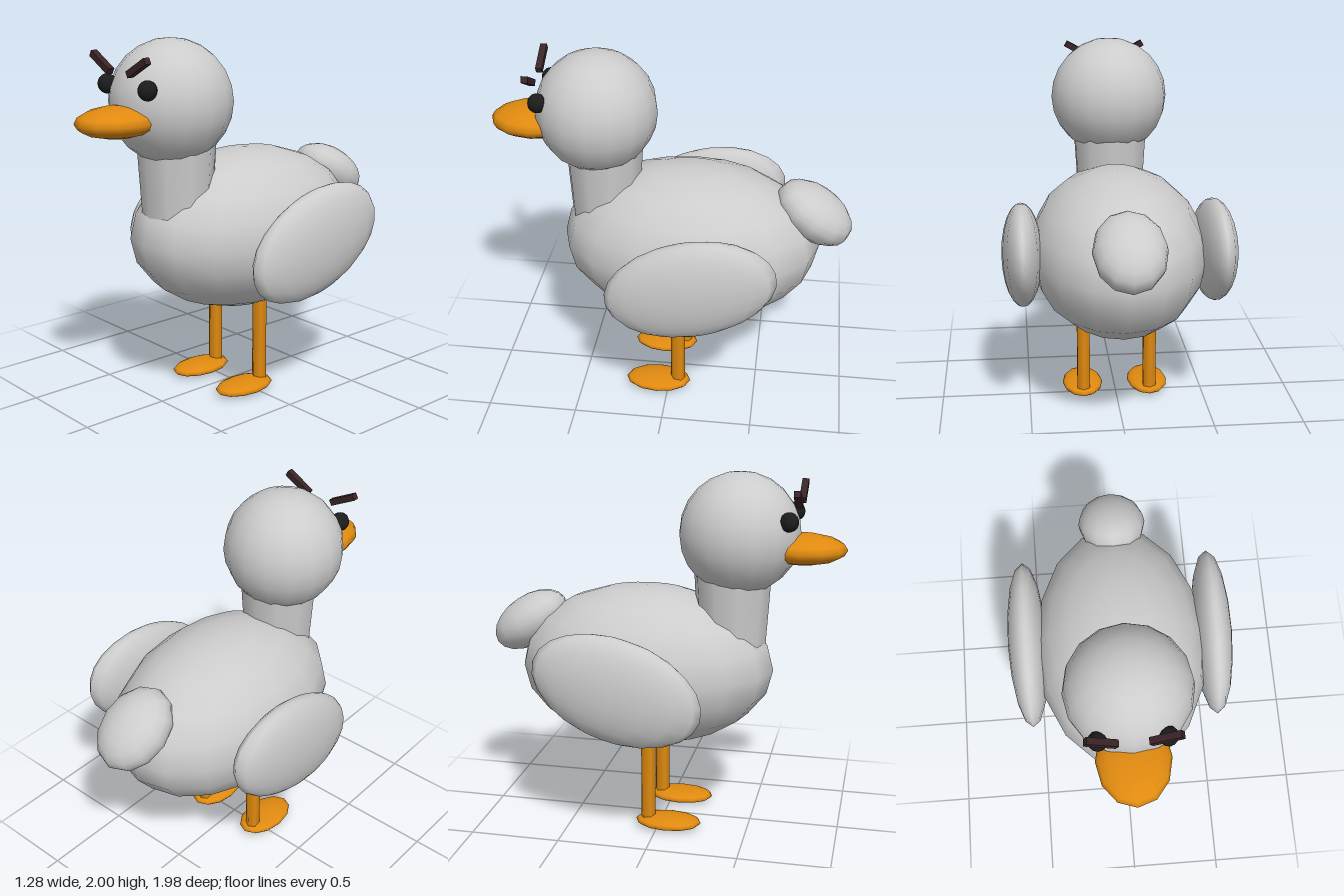
import * as THREE from 'three';

const material = (name, color) => {
  const m = new THREE.MeshStandardMaterial({ color });
  m.name = name;
  return m;
};

export function createModel() {
  const feather = material('pale grey feather', 0xcccccc);
  const orange = material('orange', 0xe08a10);
  const black = material('eye black', 0x1c1c1c);
  const brown = material('brow brown', 0x3a2426);

  const duck = new THREE.Group();
  duck.name = 'duck';

  const add = (name, geometry, mat, position, tiltX = 0, tiltZ = 0) => {
    const mesh = new THREE.Mesh(geometry, mat);
    mesh.name = name;
    mesh.position.set(...position);
    mesh.rotation.set(tiltX, 0, tiltZ);
    duck.add(mesh);
    return mesh;
  };
  // Smooth ellipsoid with the given half sizes
  const ellipsoid = (rx, ry, rz, w = 16, h = 12) =>
    new THREE.SphereGeometry(1, w, h).scale(rx, ry, rz);

  // Body, neck, head and raised tail
  add('body', ellipsoid(0.485, 0.45, 0.715, 16, 10), feather, [0, 0.91, -0.105]);
  add('neck', new THREE.CylinderGeometry(0.212, 0.176, 0.6, 10), feather, [0, 1.15, 0.375]);
  add('head', ellipsoid(0.33, 0.33, 0.33, 16, 12), feather, [0, 1.67, 0.41]);
  add('tail', ellipsoid(0.19, 0.14, 0.238, 12, 10), feather, [0, 1.122, -0.78], -0.6);

  // Flat rounded bill
  add('beak', ellipsoid(0.19, 0.082, 0.24, 12, 8), orange, [0, 1.6, 0.747]);

  // Paired parts
  for (const [side, s] of [['left', 1], ['right', -1]]) {
    add(`${side}Wing`, ellipsoid(0.112, 0.284, 0.47, 16, 12), feather, [s * 0.527, 0.91, -0.152], 0.3);
    add(`${side}Eye`, ellipsoid(0.05, 0.052, 0.05, 12, 10), black, [s * 0.17, 1.77, 0.69]);
    add(`${side}Brow`, new THREE.BoxGeometry(0.17, 0.035, 0.036), brown, [s * 0.154, 1.885, 0.732], 0, s * 0.5);
    add(`${side}Leg`, new THREE.CylinderGeometry(0.041, 0.041, 0.53, 6), orange, [s * 0.19, 0.305, -0.055]);
    add(`${side}Foot`, ellipsoid(0.116, 0.035, 0.187, 12, 8), orange, [s * 0.19, 0.036, 0.06]);
  }
  return duck;
}
